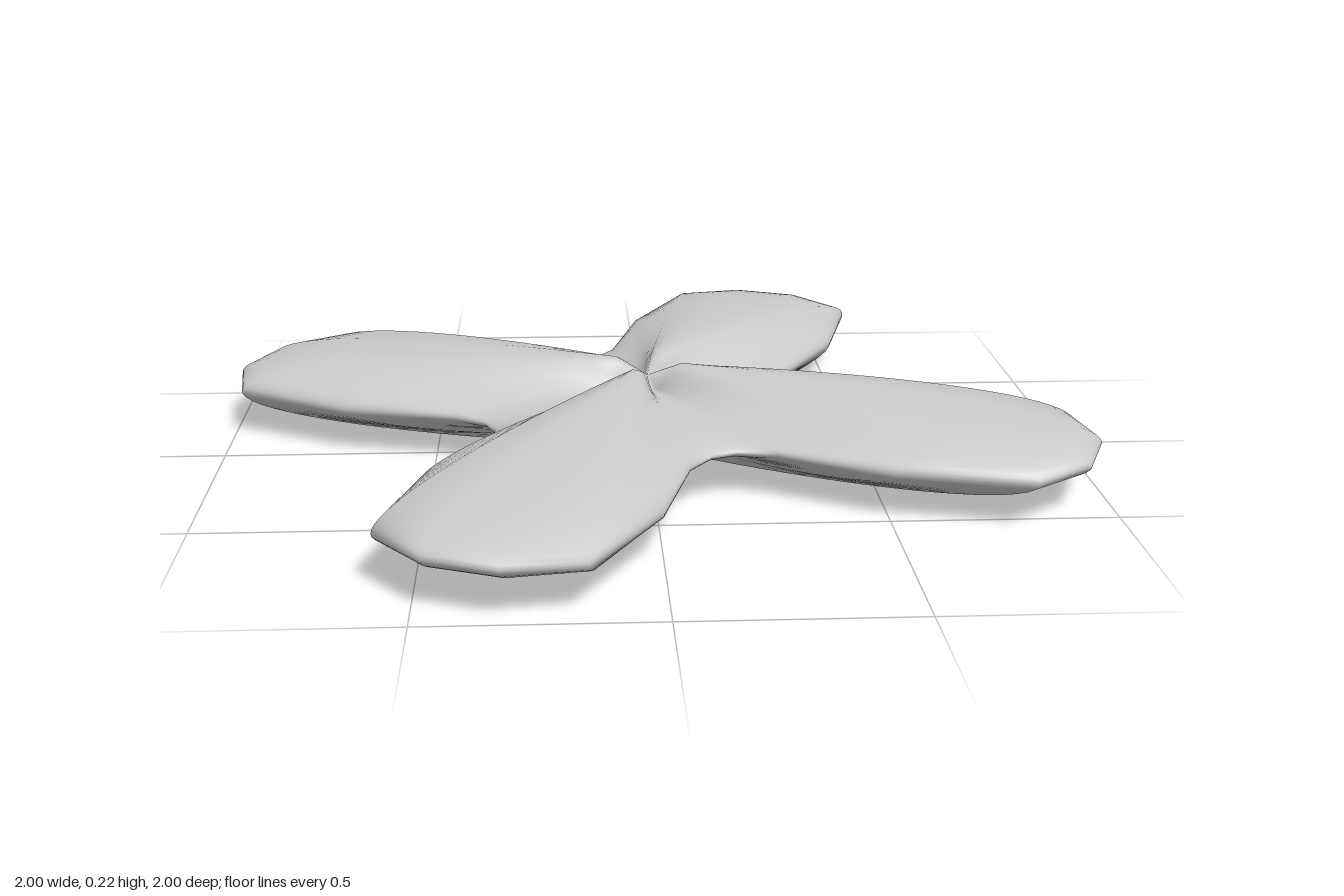
import * as THREE from 'three';
import { mergeVertices } from 'three/addons/utils/BufferGeometryUtils.js';

const SEGMENTS = 40; // 9 degrees per step around the body
const HALF_HEIGHT = 0.111;

// Outline radius over one quarter turn, repeated four times: valley, then arm
const QUARTER = [0.714, 0.457, 0.4, 0.4, 0.457, 0.714, 0.99, 1.053, 1.053, 0.99];
const FLATTEN = HALF_HEIGHT / Math.max(...QUARTER);

// Sphere whose every meridian is scaled by the outline radius, then flattened
function lobedBody() {
  let geometry = new THREE.SphereGeometry(1, SEGMENTS, SEGMENTS);
  const p = geometry.attributes.position;
  for (let i = 0; i < p.count; i++) {
    const x = p.getX(i), y = p.getY(i), z = p.getZ(i);
    const atPole = Math.hypot(x, z) < 1e-4;
    const angle = atPole ? 0 : Math.atan2(-z, x);
    const step = Math.round((angle / (2 * Math.PI)) * SEGMENTS) + SEGMENTS;
    const r = QUARTER[step % QUARTER.length];
    p.setXYZ(i, atPole ? 0 : x * r, y * r * FLATTEN + HALF_HEIGHT, atPole ? 0 : z * r);
  }
  // Weld the seam and poles so the shading runs smoothly all round
  geometry.deleteAttribute('uv');
  geometry.deleteAttribute('normal');
  geometry = mergeVertices(geometry, 1e-4);
  geometry.computeVertexNormals();
  return geometry;
}

export function createModel() {
  const group = new THREE.Group();
  group.name = 'fourArmedStar';
  const material = new THREE.MeshStandardMaterial({ color: 0xcccccc });
  const body = new THREE.Mesh(lobedBody(), material);
  body.name = 'lobedBody';
  group.add(body);
  return group;
}
